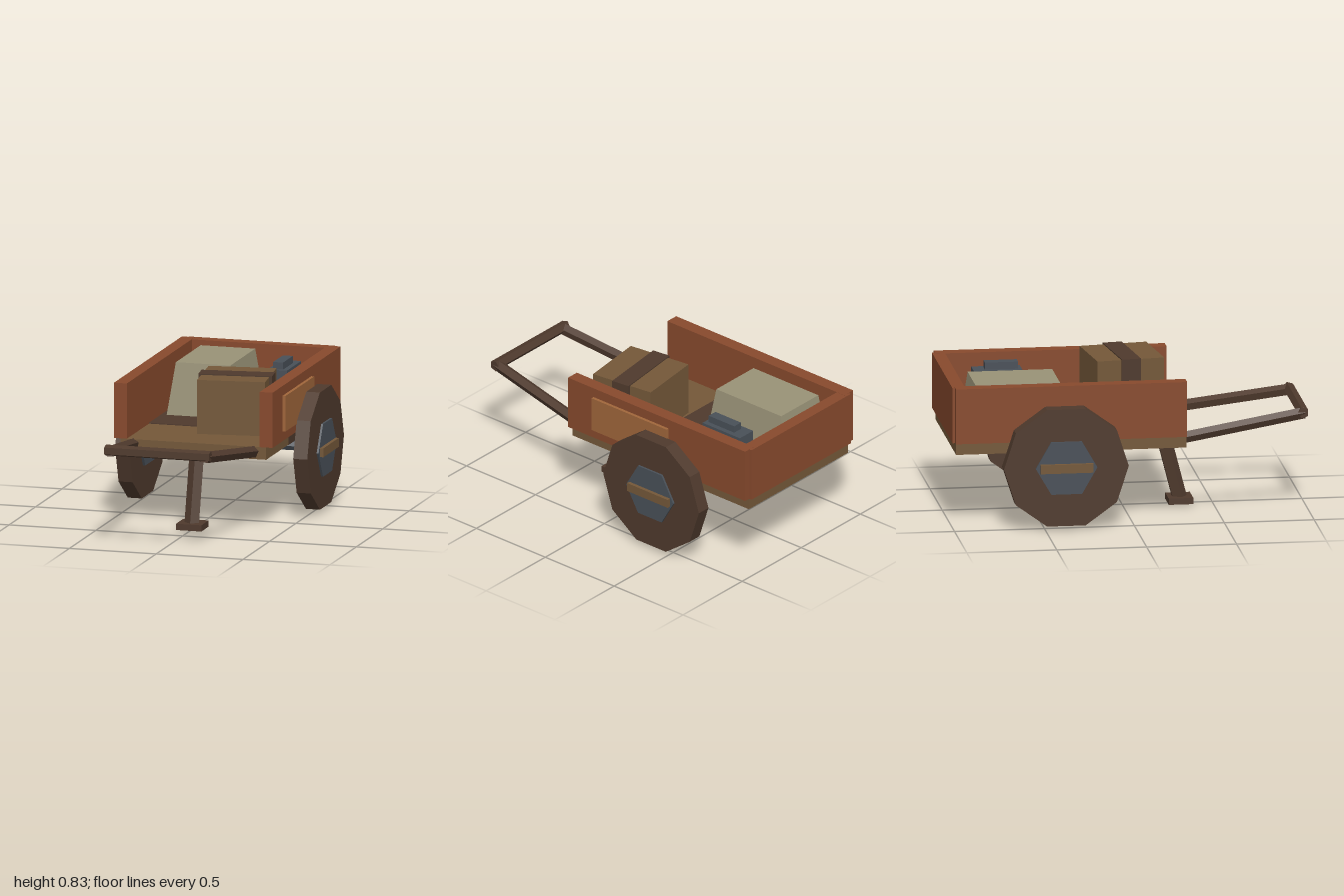
import * as THREE from 'three';

const mat = (name, color) => {
  const m = new THREE.MeshStandardMaterial({ color });
  m.name = name;
  return m;
};

// Recompute normals per face for a faceted look
const faceted = (geo) => {
  const g = geo.index ? geo.toNonIndexed() : geo;
  g.computeVertexNormals();
  return g;
};

export function createModel() {
  const rust = mat('rust paint', 0x884a2d);
  const wood = mat('plank wood', 0x745839);
  const dark = mat('dark wood', 0x4f3a2d);
  const tan = mat('tan patch', 0xa0663b);
  const steel = mat('blue steel', 0x495058);
  const cream = mat('cream cloth', 0x999277);

  const cart = new THREE.Group();
  cart.name = 'handcart';

  const add = (name, geo, material, parent = cart) => {
    const m = new THREE.Mesh(geo, material);
    m.name = name;
    parent.add(m);
    return m;
  };
  // Box given by its min and max on each axis
  const box = (name, material, [x0, x1], [y0, y1], [z0, z1], parent) => {
    const m = add(name, new THREE.BoxGeometry(x1 - x0, y1 - y0, z1 - z0), material, parent);
    m.position.set((x0 + x1) / 2, (y0 + y1) / 2, (z0 + z1) / 2);
    return m;
  };
  // Faceted pole between two points
  const pole = (name, material, a, b, r, sides) => {
    const from = new THREE.Vector3(...a), to = new THREE.Vector3(...b);
    const dir = to.clone().sub(from);
    const m = add(name, faceted(new THREE.CylinderGeometry(r, r, dir.length(), sides)), material);
    m.position.copy(from).add(to).multiplyScalar(0.5);
    m.quaternion.setFromUnitVectors(new THREE.Vector3(0, 1, 0), dir.normalize());
    return m;
  };
  // Faceted cylinder lying along x, with a corner pointing to +z
  const disc = (name, material, r, width, sides, x, y, z) => {
    const geo = faceted(new THREE.CylinderGeometry(r, r, width, sides)).rotateZ(Math.PI / 2);
    const m = add(name, geo, material);
    m.position.set(x, y, z);
    return m;
  };

  // Floor of three wide planks
  box('frontFloorPlank', wood, [-0.42, 0.42], [0.42, 0.489], [-0.12, 0.3]);
  box('middleFloorPlank', dark, [-0.42, 0.42], [0.418, 0.494], [-0.53, -0.12]);
  box('rearFloorPlank', wood, [-0.42, 0.42], [0.42, 0.489], [-0.98, -0.53]);

  // Walls
  for (const [side, s] of [['left', 1], ['right', -1]]) {
    const xs = s > 0 ? [0.383, 0.457] : [-0.457, -0.383];
    box(side + 'Wall', rust, xs, [0.489, 0.8], [-0.985, 0.3]);
  }
  box('backWall', rust, [-0.42, 0.42], [0.487, 0.799], [-1, -0.93]);
  box('wallPatch', tan, [0.45, 0.475], [0.545, 0.745], [-0.43, 0.115]);

  // Axle and wheels
  const wy = 0.36, wz = -0.385;
  disc('axle', steel, 0.029, 0.92, 6, 0, wy, wz);
  for (const [side, s] of [['left', 1], ['right', -1]]) {
    disc(side + 'Wheel', dark, 0.347, 0.081, 10, s * 0.513, wy, wz);
    disc(side + 'Hub', steel, 0.171, 0.106, 6, s * 0.512, wy, wz);
    const xs = s > 0 ? [0.44, 0.585] : [-0.585, -0.44];
    box(side + 'HubBar', wood, xs, [wy - 0.025, wy + 0.025], [wz - 0.147, wz + 0.147]);
  }

  // Pull handle
  for (const [side, s] of [['left', 1], ['right', -1]]) {
    pole(side + 'Shaft', dark, [s * 0.273, 0.56, 0.975], [s * 0.352, 0.449, 0.225], 0.033, 5);
  }
  const grip = disc('handleBar', dark, 0.032, 0.605, 5, 0, 0.565, 0.967);
  grip.rotation.x = -1.92;

  // Prop leg and foot
  pole('propLeg', dark, [0, 0.46, 0.208], [0, 0.015, 0.322], 0.044, 5).rotateX(Math.PI).rotateY(0);
  box('propFoot', dark, [-0.073, 0.073], [0.012, 0.047], [0.25, 0.387]);

  // Tapered cream bundle
  const bundle = new THREE.BoxGeometry(0.395, 0.291, 0.55);
  const p = bundle.attributes.position;
  for (let i = 0; i < p.count; i++) {
    if (p.getY(i) > 0) p.setXYZ(i, p.getX(i) * 0.795, p.getY(i), p.getZ(i) * 0.855);
  }
  add('creamBundle', faceted(bundle), cream).position.set(-0.153, 0.64, -0.623);

  // Strapped crate, turned slightly
  const crate = new THREE.Group();
  crate.name = 'strappedCrate';
  crate.position.set(0.166, 0, 0.022);
  crate.rotation.y = 0.128;
  cart.add(crate);
  box('crateBody', wood, [-0.19, 0.19], [0.527, 0.831], [-0.19, 0.19], crate);
  box('crateStrap', dark, [-0.206, 0.206], [0.524, 0.837], [-0.054, 0.054], crate);

  // Steel can with a raised handle
  box('canBody', steel, [0.174, 0.286], [0.489, 0.745], [-0.8, -0.53]);
  box('canHandle', steel, [0.201, 0.258], [0.74, 0.785], [-0.735, -0.55]);

  return cart;
}
